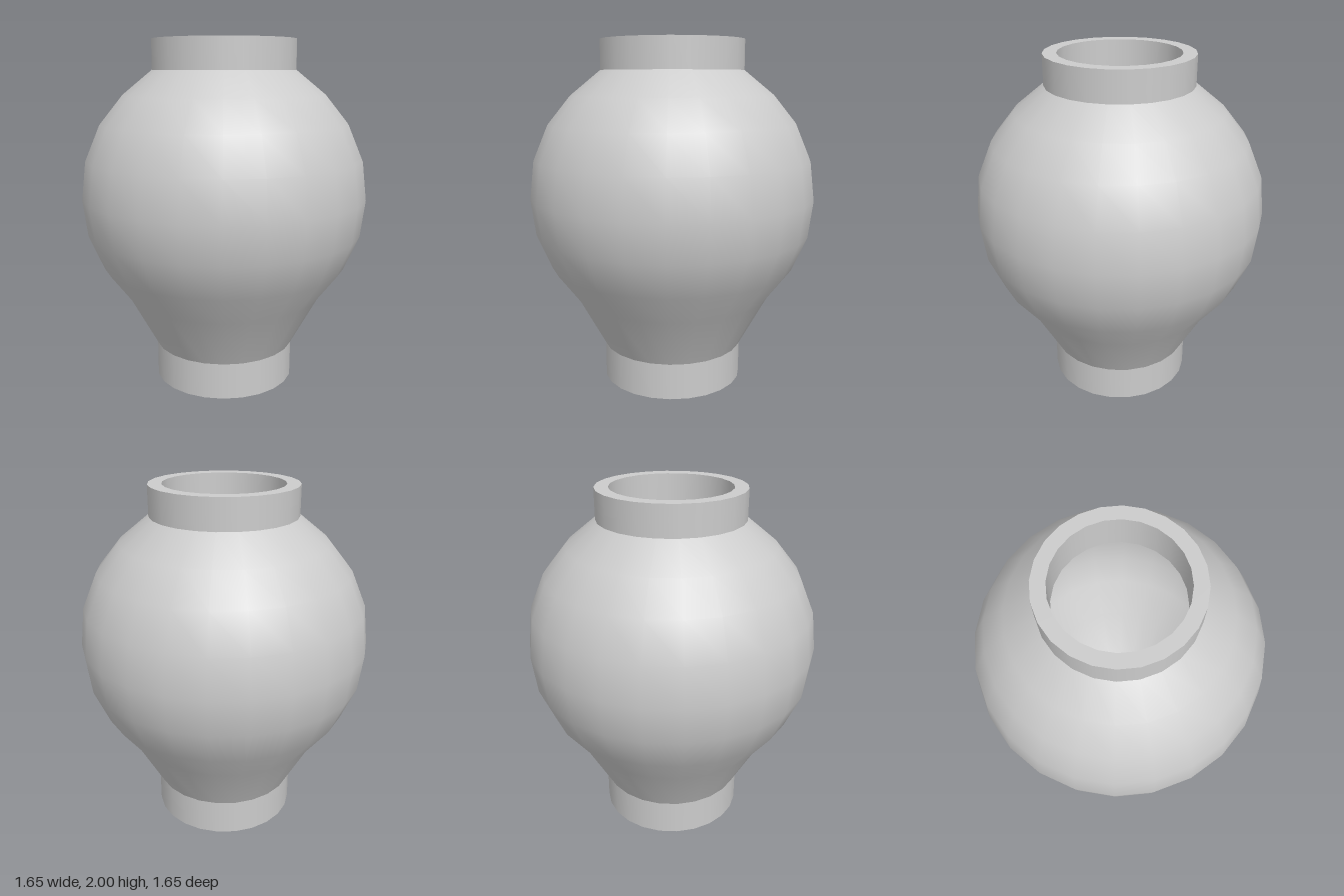
import * as THREE from 'three';

const SIDES = 24;

export function createModel() {
  const vase = new THREE.Group();
  vase.name = 'vase';
  const material = new THREE.MeshStandardMaterial({ color: 0xcccccc });

  // Each part is a turned band; separate bands keep the edges between them sharp.
  function turned(name, profile) {
    const points = profile.map(([r, y]) => new THREE.Vector2(r, y));
    const mesh = new THREE.Mesh(new THREE.LatheGeometry(points, SIDES), material);
    mesh.name = name;
    vase.add(mesh);
  }

  // Foot: flat underside and straight wall
  turned('underside', [[0, 0], [0.413, 0]]);
  turned('foot', [[0.413, 0], [0.413, 0.21]]);

  // Body: flared stem running into a round belly
  turned('body', [
    [0.413, 0.21], [0.58, 0.52], [0.715, 0.7], [0.8, 0.9], [0.826, 1.11],
    [0.8, 1.33], [0.715, 1.53], [0.585, 1.69], [0.413, 1.83],
  ]);

  // Neck and flat rim
  turned('neck', [[0.413, 1.83], [0.413, 2]]);
  turned('rim', [[0.413, 2], [0.337, 2]]);

  // Hollow inside: neck wall, then the cavity down to a rounded floor
  turned('neckInside', [[0.337, 2], [0.337, 1.79]]);
  turned('cavity', [
    [0.337, 1.79], [0.53, 1.64], [0.65, 1.49], [0.725, 1.31], [0.75, 1.11],
    [0.725, 0.92], [0.65, 0.74], [0.51, 0.55], [0.337, 0.25], [0.18, 0.14], [0, 0.1],
  ]);

  return vase;
}
